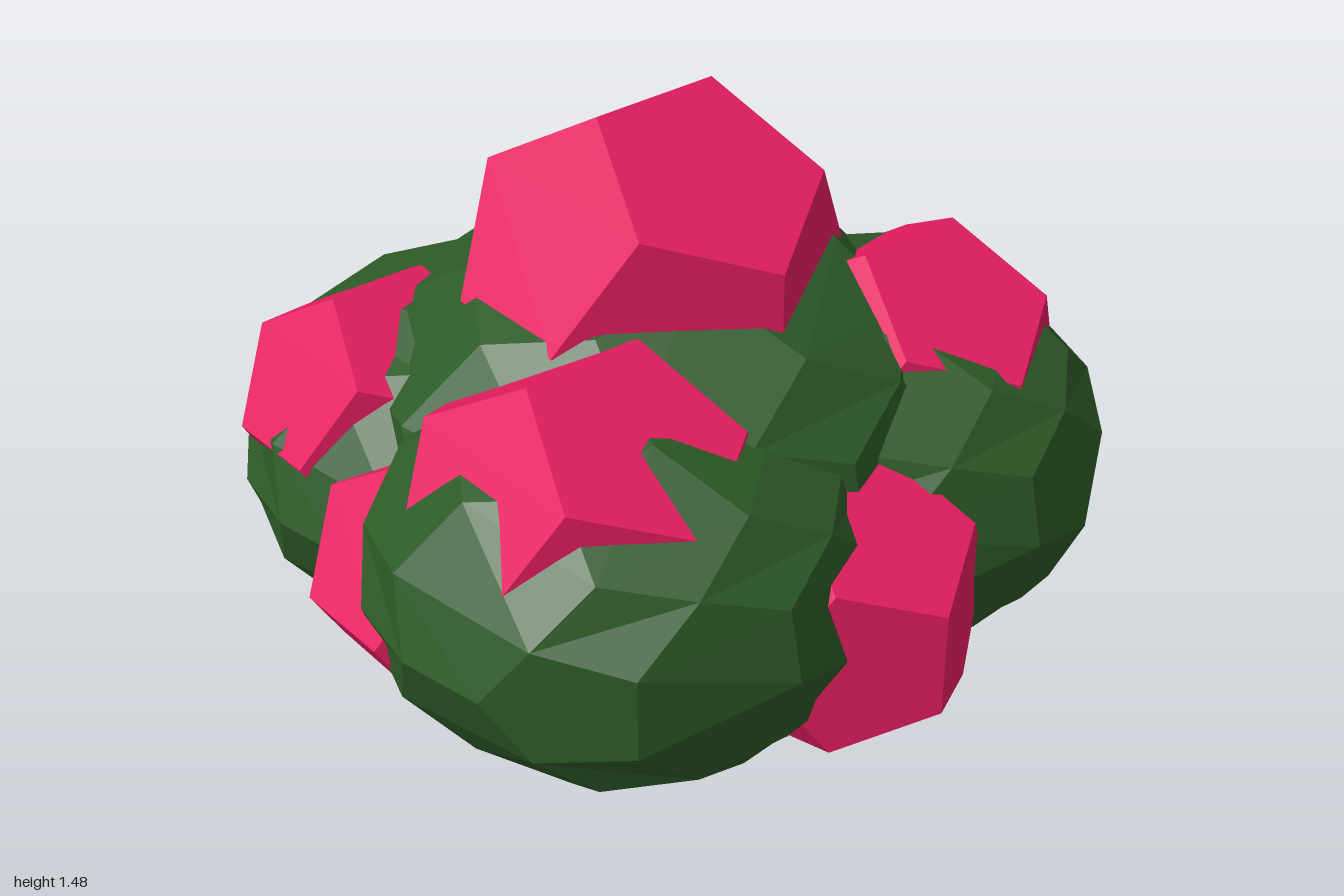
import * as THREE from 'three';

const leafGreen = new THREE.MeshStandardMaterial({ color: 0x2d5a27 });
leafGreen.name = 'leafGreen';
const blossomPink = new THREE.MeshStandardMaterial({ color: 0xe91e63 });
blossomPink.name = 'blossomPink';
const barkBrown = new THREE.MeshStandardMaterial({ color: 0x5a4a3a });
barkBrown.name = 'barkBrown';

// Squashed, faceted clump of leaves
function clump(name, [x, y, z], [rx, ry, rz]) {
  const geo = new THREE.DodecahedronGeometry(1, 1).scale(rx, ry, rz);
  geo.computeVertexNormals(); // unshared corners give flat facets
  const mesh = new THREE.Mesh(geo, leafGreen);
  mesh.name = name;
  mesh.position.set(x, y, z);
  return mesh;
}

// Chunky twelve-sided blossom, half sunk into the leaves
function blossom(name, [x, y, z], r) {
  const mesh = new THREE.Mesh(new THREE.DodecahedronGeometry(r, 0), blossomPink);
  mesh.name = name;
  mesh.position.set(x, y, z);
  return mesh;
}

// Short tilted stem running from its tip up into the leaves
function twig(tip, root) {
  const a = new THREE.Vector3(...tip);
  const b = new THREE.Vector3(...root);
  const dir = b.clone().sub(a);
  const geo = new THREE.CylinderGeometry(0.04, 0.045, dir.length(), 8).toNonIndexed();
  geo.computeVertexNormals();
  const mesh = new THREE.Mesh(geo, barkBrown);
  mesh.name = 'twig';
  mesh.position.copy(a).add(b).multiplyScalar(0.5);
  mesh.quaternion.setFromUnitVectors(new THREE.Vector3(0, 1, 0), dir.normalize());
  return mesh;
}

export function createModel() {
  const bush = new THREE.Group();
  bush.name = 'floweringBush';

  // Leaves: a tall middle clump with four around it
  bush.add(
    clump('middleLeaves', [-0.03, 0.64, -0.02], [0.73, 0.56, 0.73]),
    clump('frontRightLeaves', [-0.39, 0.55, 0.28], [0.61, 0.48, 0.61]),
    clump('frontLeftLeaves', [0.38, 0.54, 0.25], [0.615, 0.48, 0.62]),
    clump('backRightLeaves', [-0.29, 0.52, -0.37], [0.61, 0.47, 0.6]),
    clump('backLeftLeaves', [0.26, 0.54, -0.33], [0.585, 0.47, 0.58]),
  );

  // Blossoms: crown, four on the shoulders, four on the sides
  bush.add(
    blossom('crownBlossom', [-0.03, 1.045, -0.025], 0.475),
    blossom('frontRightBlossom', [-0.495, 0.705, 0.29], 0.435),
    blossom('frontLeftBlossom', [0.475, 0.71, 0.31], 0.41),
    blossom('backRightBlossom', [-0.525, 0.67, -0.46], 0.355),
    blossom('backLeftBlossom', [0.425, 0.66, -0.415], 0.37),
    blossom('frontBlossom', [-0.03, 0.46, 0.62], 0.375),
    blossom('backBlossom', [-0.03, 0.47, -0.61], 0.375),
    blossom('leftBlossom', [0.6, 0.46, -0.02], 0.365),
    blossom('rightBlossom', [-0.62, 0.46, -0.02], 0.37),
  );

  // Stems peeking out underneath
  const twigs = [
    [[-0.69, 0.05, 0.07], [-0.56, 0.23, 0.05]],
    [[-0.43, 0.035, -0.24], [-0.3, 0.21, -0.2]],
    [[-0.31, 0.04, 0.3], [-0.2, 0.2, 0.25]],
    [[-0.09, 0.04, -0.28], [-0.19, 0.2, -0.22]],
    [[0.02, 0.035, 0.06], [-0.1, 0.2, 0.09]],
  ];
  for (const [tip, root] of twigs) bush.add(twig(tip, root));

  return bush;
}
